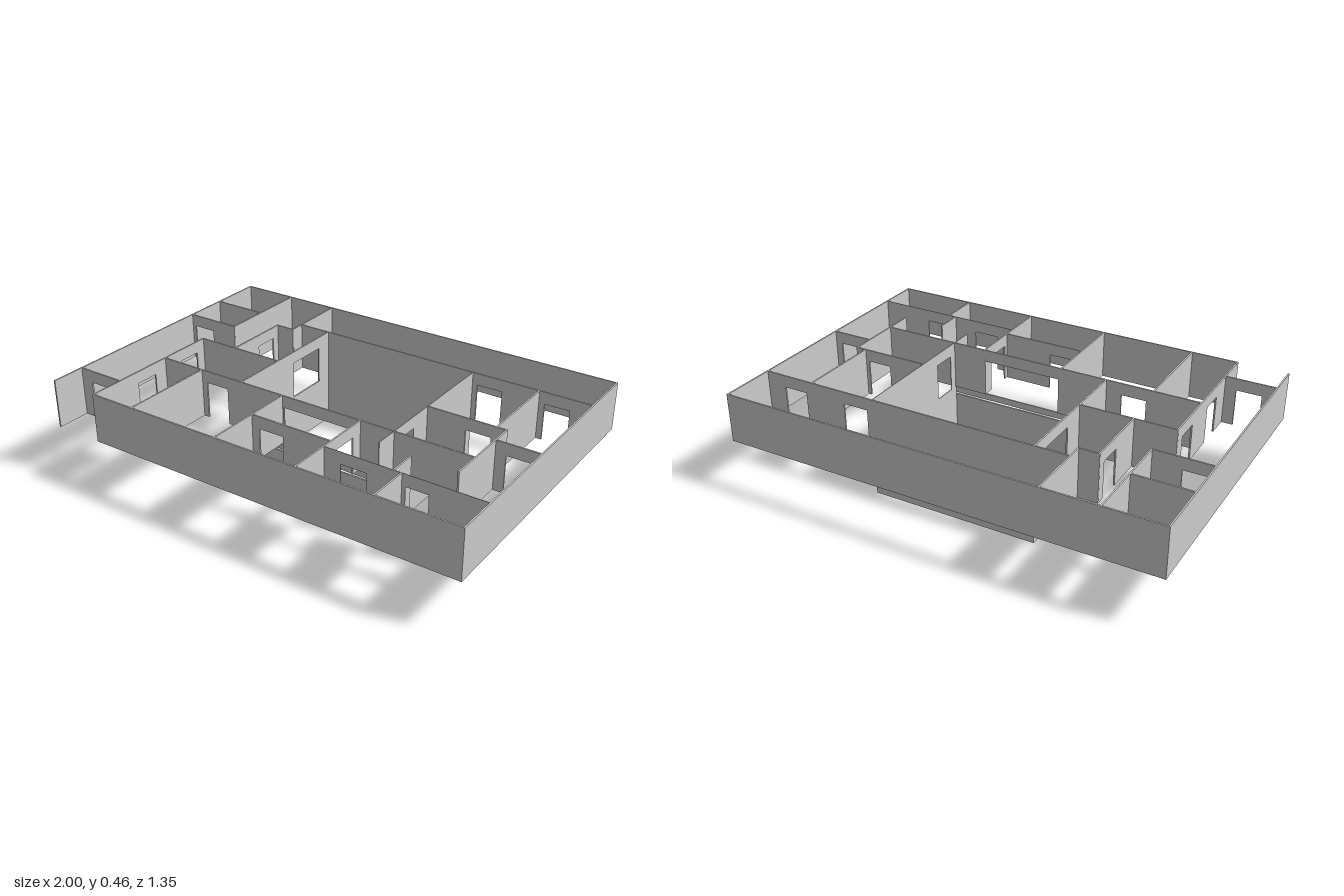
import * as THREE from 'three';

const FLOOR = 0.23, TOP = 0.455, DOOR_TOP = 0.4;
const THICK = 0.007, THIN = 0.003;

export function createModel() {
  const model = new THREE.Group();
  model.name = 'floorPlan';
  const material = new THREE.MeshStandardMaterial({ color: 0xcccccc, side: THREE.DoubleSide });

  // Wall elevation with door notches open to the floor, extruded to its thickness.
  // axis 'x': wall runs along x at z = at; axis 'z': wall runs along z at x = at.
  function wall(name, axis, at, from, to, doors = [], thick = THICK, bottom = FLOOR, top = TOP) {
    const outline = new THREE.Shape();
    outline.moveTo(from, bottom);
    for (const [a, b] of doors) {
      outline.lineTo(a, bottom);
      outline.lineTo(a, DOOR_TOP);
      outline.lineTo(b, DOOR_TOP);
      outline.lineTo(b, bottom);
    }
    outline.lineTo(to, bottom);
    outline.lineTo(to, top);
    outline.lineTo(from, top);
    outline.closePath();
    const geometry = new THREE.ExtrudeGeometry(outline, { depth: thick, bevelEnabled: false });
    geometry.translate(0, 0, -thick / 2);
    if (axis === 'z') geometry.rotateY(-Math.PI / 2);
    const mesh = new THREE.Mesh(geometry, material);
    mesh.name = name;
    if (axis === 'z') mesh.position.x = at;
    else mesh.position.z = at;
    model.add(mesh);
  }

  // Outer walls
  wall('backOuterWall', 'x', -0.675, -1, 1);
  wall('frontOuterWall', 'x', 0.672, -0.768, 1);
  wall('leftOuterWall', 'z', 0.9965, -0.675, 0.672);
  wall('rightOuterWall', 'z', -0.9965, -0.675, 0.675);

  // Partitions running left to right: z, from x, to x, doors, thickness
  const crossWalls = [
    [-0.425, -1, -0.735],
    [-0.22, -1, -0.732, [[-0.975, -0.865]]],
    [-0.35, -0.578, -0.482],
    [-0.03, -0.768, -0.33],
    [-0.42, -0.485, 0.995, [[0.465, 0.585], [0.785, 0.9]]],
    [-0.03, 0.44, 0.803, [[0.62, 0.735]]],
    [0.065, 0.8, 0.995, [[0.85, 0.96]]],
    [0.23, -0.765, 0.8, [[-0.52, -0.405], [-0.1, 0.275]]],
    [0.435, -0.11, 0.28, [[-0.07, 0.05]]],
    [0.485, 0.28, 0.995, [[0.36, 0.48], [0.65, 0.75]], THIN],
    [0.515, -1, -0.765, [[-0.935, -0.82]]],
  ];
  crossWalls.forEach(([z, a, b, doors, thick], i) => wall(`crossPartition${i + 1}`, 'x', z, a, b, doors, thick));

  // Partitions running back to front: x, from z, to z, doors, thickness
  const longWalls = [
    [-0.735, -0.675, -0.22],
    [-0.485, -0.675, -0.35],
    [-0.575, -0.35, -0.03, [[-0.31, -0.2]]],
    [-0.765, -0.03, 0.672, [[0.02, 0.13], [0.3, 0.41]]],
    [-0.33, -0.42, 0.23, [[-0.34, -0.14]]],
    [0.44, -0.42, 0.34, [[0.08, 0.19]], THIN],
    [0.755, -0.42, -0.03],
    [0.8, -0.03, 0.36],
    [-0.55, 0.23, 0.672],
    [-0.11, 0.23, 0.672],
    [0.28, 0.23, 0.672, [[0.285, 0.41]]],
    [0.595, 0.36, 0.485],
    [0.63, 0.485, 0.672],
  ];
  longWalls.forEach(([x, a, b, doors, thick], i) => wall(`longPartition${i + 1}`, 'z', x, a, b, doors, thick));

  // Lower room, open below, with a narrow slot near the top of its front wall
  wall('lowerBackWall', 'x', -0.42, -0.333, 0.441, [], THICK, 0, FLOOR);
  wall('lowerRightWall', 'z', -0.33, -0.42, 0.232, [], THICK, 0, FLOOR);
  wall('lowerLeftWall', 'z', 0.44, -0.42, 0.232, [], THIN, 0, FLOOR);
  wall('lowerFrontWall', 'x', 0.236, -0.333, 0.441, [], THICK, 0, 0.19);
  wall('lowerFrontSill', 'x', 0.236, -0.333, 0.441, [], THICK, 0.2, FLOOR);

  return model;
}
